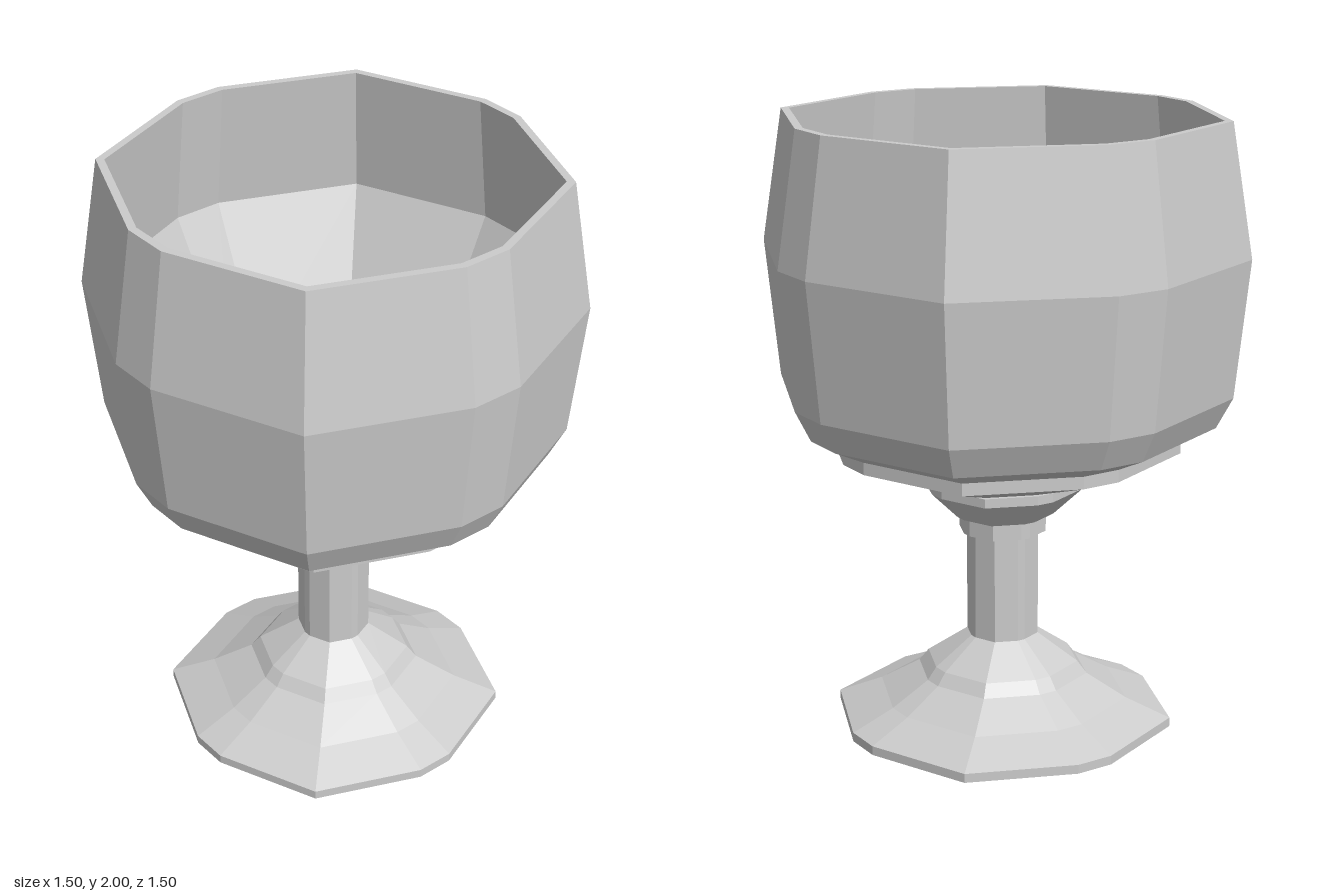
import * as THREE from 'three';

const material = new THREE.MeshStandardMaterial({ color: 0xcccccc, flatShading: true });

// Twelve-sided section of unit half-width: narrow sides on the axes, sharp diagonal corners
const section = [];
for (let k = 0; k < 4; k++) {
  for (const [x, z] of [[1, -0.117], [1, 0.117], [0.743, 0.743]]) {
    const c = [1, 0, -1, 0][k], s = [0, 1, 0, -1][k];
    section.push([x * c - z * s, x * s + z * c]);
  }
}

// Sweeps a profile of [half-width, height] around the section
function loft(name, profile) {
  const n = section.length, positions = [], index = [];
  for (const [r, y] of profile) {
    for (const [x, z] of section) positions.push(x * r, y, z * r);
  }
  for (let j = 0; j < profile.length - 1; j++) {
    for (let i = 0; i < n; i++) {
      const a = j * n + i, c = j * n + (i + 1) % n, b = a + n, d = c + n;
      if (profile[j][0] > 0) index.push(a, b, c);
      if (profile[j + 1][0] > 0) index.push(b, d, c);
    }
  }
  const indexed = new THREE.BufferGeometry();
  indexed.setAttribute('position', new THREE.Float32BufferAttribute(positions, 3));
  indexed.setIndex(index);
  const geometry = indexed.toNonIndexed();
  geometry.computeVertexNormals();
  const mesh = new THREE.Mesh(geometry, material);
  mesh.name = name;
  return mesh;
}

export function createModel() {
  const group = new THREE.Group();
  group.name = 'goblet';
  group.add(
    // Stepped, flaring foot with a flat underside
    loft('foot', [[0, 0], [0.535, 0], [0.535, 0.03], [0.395, 0.09], [0.27, 0.165],
      [0.24, 0.205], [0.113, 0.295]]),
    // Straight stem
    loft('stem', [[0.113, 0.295], [0.113, 0.65]]),
    // Collar under the bowl
    loft('collar', [[0.113, 0.65], [0.137, 0.65], [0.137, 0.71]]),
    // Small and large flared rings carrying the bowl
    loft('lowerRing', [[0.137, 0.71], [0.16, 0.71], [0.25, 0.8], [0.25, 0.83], [0.235, 0.83]]),
    loft('upperRing', [[0.235, 0.83], [0.55, 0.94], [0.55, 0.98]]),
    // Bowl: outer wall, rim, inner wall and floor
    loft('bowl', [[0.55, 0.98], [0.655, 1.03], [0.705, 1.13], [0.748, 1.575], [0.682, 2],
      [0.656, 2], [0.705, 1.575], [0.467, 1.1], [0, 1.1]])
  );
  return group;
}
